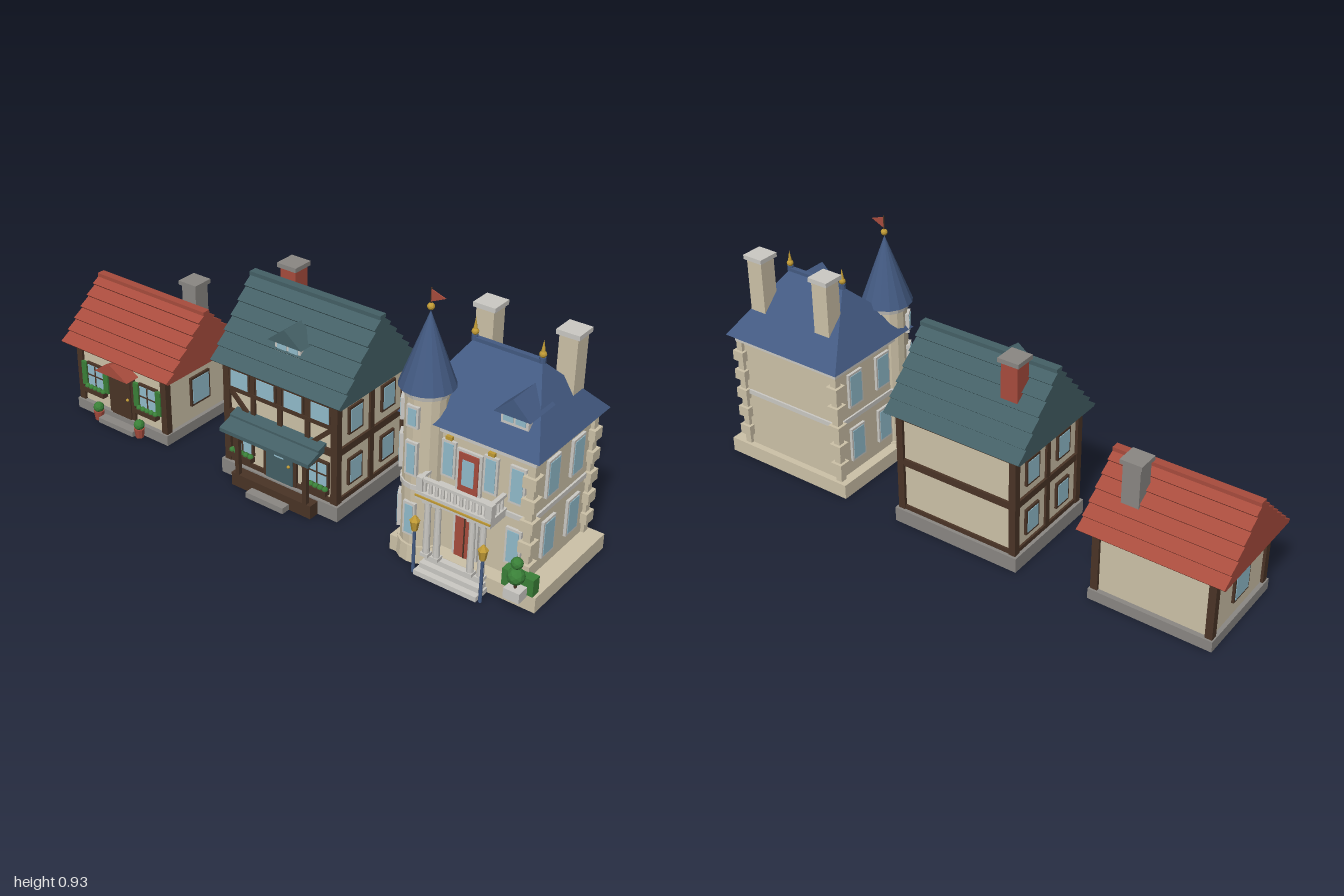
import * as THREE from 'three';
import { ConvexGeometry } from 'three/addons/geometries/ConvexGeometry.js';

const mat = (name, color, extra) => Object.assign(new THREE.MeshStandardMaterial({ color, ...extra }), { name });

export function createModel() {
  const root = new THREE.Group();
  root.name = 'threeHouses';
  const red = mat('brickRed', 0xa84c3d), teal = mat('slateTeal', 0x446066), blue = mat('slateBlue', 0x435a82),
    wall = mat('plaster', 0xcdc2a8), light = mat('paleStone', 0xcbc9c4), grey = mat('greyStone', 0x8a8783),
    wood = mat('darkWood', 0x4a3426), glass = mat('glass', 0x92bccc), green = mat('leaf', 0x3a8038),
    gold = mat('gold', 0xc09a35);
  [red, teal, blue, wall, gold, light, green].forEach(m => { m.flatShading = true; });

  const add = (g, name, geo, m, x = 0, y = 0, z = 0) => {
    const o = new THREE.Mesh(geo, m);
    o.name = name;
    o.position.set(x, y, z);
    g.add(o);
    return o;
  };
  // Box standing on height y
  const box = (g, name, m, w, h, d, x, y, z) => add(g, name, new THREE.BoxGeometry(w, h, d), m, x, y + h / 2, z);
  const cyl = (g, name, m, r1, r2, h, x, y, z, n = 10) =>
    add(g, name, new THREE.CylinderGeometry(r1, r2, h, n), m, x, y + h / 2, z);
  const ball = (g, name, m, r, x, y, z) => add(g, name, new THREE.IcosahedronGeometry(r, 1), m, x, y, z);
  const group = (name, x, z, parent = root) => {
    const g = new THREE.Group();
    g.name = name;
    g.position.set(x, 0, z);
    parent.add(g);
    return g;
  };
  // Straight beam on a front wall between two points
  const beam = (g, x0, y0, x1, y1, z, t = 0.016) => {
    const b = add(g, 'brace', new THREE.BoxGeometry(Math.hypot(x1 - x0, y1 - y0), t, 0.014), wood, (x0 + x1) / 2, (y0 + y1) / 2, z);
    b.rotation.z = Math.atan2(y1 - y0, x1 - x0);
  };
  // Framed window standing on height y and turned by ry
  const windowAt = (g, x, y, z, w, h, frame, ry = 0, bars = false) => {
    const s = group('window', x, z, g);
    s.rotation.y = ry;
    box(s, 'windowFrame', frame, w, h, 0.016, 0, y, 0);
    box(s, 'windowPane', glass, w - 0.015, h - 0.017, 0.004, 0, y + 0.0085, 0.008);
    if (bars) {
      box(s, 'windowBar', frame, 0.005, h - 0.016, 0.004, 0, y + 0.008, 0.01);
      box(s, 'windowBar', frame, w - 0.014, 0.005, 0.004, 0, y + h / 2, 0.01);
    }
  };
  // Prism along x from a profile in (z, y)
  const prismX = (pts, w) => new THREE.ExtrudeGeometry(new THREE.Shape(pts.map(p => new THREE.Vector2(...p))),
    { depth: w, bevelEnabled: false }).translate(0, 0, -w / 2).rotateY(-Math.PI / 2);
  // Solid gable roof with overlapping rows of tiles
  const tiledRoof = (g, m, w, d, y0, y1, rows) => {
    const H = y1 - y0, L = Math.hypot(H, d), lip = 0.012, front = [];
    for (let i = 0; i < rows; i++) {
      const z = d * (1 - i / rows), y = y0 + H * i / rows;
      front.push([z, y], [z + lip * H / L, y + lip * d / L]);
    }
    add(g, 'tiledRoof', prismX([...front, [0, y1], ...front.map(([z, y]) => [-z, y]).reverse()], w), m);
    box(g, 'ridgeCap', m, w, 0.014, 0.03, 0, y1 - 0.007, 0);
  };
  // Gabled block with its ridge along z
  const gable = (g, name, m, w, h, d, x, y, z) => {
    const s = new THREE.Shape([[-w / 2, 0], [w / 2, 0], [0, h]].map(p => new THREE.Vector2(...p)));
    return add(g, name, new THREE.ExtrudeGeometry(s, { depth: d, bevelEnabled: false }), m, x, y, z - d);
  };
  const dormer = (g, m, x, y, z, w, h) => {
    box(g, 'dormerWall', light, w * 0.75, 0.05, 0.1, x, y - 0.04, z - 0.068);
    for (const s of [-1, 1]) box(g, 'dormerPane', glass, w * 0.27, 0.026, 0.004, x + s * w * 0.17, y - 0.029, z - 0.017);
    gable(g, 'dormerRoof', m, w, h, 0.14, x, y, z);
  };
  const chimney = (g, m, cap, x, z, y0, y1, w = 0.064) => {
    box(g, 'chimney', m, w, y1 - y0 - 0.014, w, x, y0, z);
    box(g, 'chimneyCap', cap, w + 0.016, 0.016, w + 0.016, x, y1 - 0.016, z);
  };
  const flowerBox = (g, x, y, z, w) => {
    box(g, 'flowerBox', wood, w, 0.018, 0.025, x, y, z);
    for (let i = -2; i <= 2; i++) ball(g, 'flowers', green, 0.011, x + i * w * 0.2, y + 0.02, z);
  };

  // --- Cottage ---
  const A = group('cottage', -0.74, -0.017);
  box(A, 'plinth', grey, 0.45, 0.04, 0.38, 0, 0, 0);
  box(A, 'walls', wall, 0.42, 0.24, 0.345, 0, 0.04, 0);
  for (const sx of [-1, 1]) {
    for (const sz of [-1, 1]) box(A, 'cornerPost', wood, 0.026, 0.235, 0.026, sx * 0.207, 0.04, sz * 0.17);
    windowAt(A, sx * 0.211, 0.095, 0, 0.1, 0.115, wood, sx * Math.PI / 2);
    windowAt(A, sx * 0.13, 0.105, 0.174, 0.09, 0.1, wood, 0, true);
    for (const s of [-1, 1]) box(A, 'shutter', green, 0.024, 0.095, 0.012, sx * 0.13 + s * 0.054, 0.108, 0.182);
    flowerBox(A, sx * 0.13, 0.088, 0.188, 0.1);
    cyl(A, 'flowerPot', red, 0.02, 0.015, 0.036, sx * 0.102, 0, 0.205);
    ball(A, 'potPlant', green, 0.02, sx * 0.102, 0.05, 0.205);
  }
  box(A, 'doorFrame', wood, 0.125, 0.18, 0.016, 0, 0.04, 0.175);
  box(A, 'door', wood, 0.095, 0.165, 0.008, 0, 0.04, 0.184);
  ball(A, 'doorKnob', gold, 0.006, 0.035, 0.12, 0.19);
  gable(A, 'doorCanopy', red, 0.16, 0.046, 0.07, 0, 0.222, 0.232);
  box(A, 'doorStep', grey, 0.17, 0.02, 0.05, 0, 0, 0.2);
  tiledRoof(A, red, 0.52, 0.21, 0.268, 0.467, 6);
  chimney(A, grey, grey, 0.13, -0.085, 0.36, 0.525);

  // --- Timber-framed house ---
  const B = group('timberHouse', -0.005, -0.03), wz = 0.187;
  box(B, 'plinth', grey, 0.5, 0.055, 0.41, 0, 0, 0);
  box(B, 'walls', wall, 0.46, 0.39, 0.37, 0, 0.055, 0);
  box(B, 'sillBeam', wood, 0.475, 0.016, 0.385, 0, 0.055, 0);
  box(B, 'floorBeam', wood, 0.478, 0.026, 0.388, 0, 0.235, 0);
  box(B, 'topBeam', wood, 0.478, 0.024, 0.388, 0, 0.415, 0);
  for (const sx of [-1, 1]) {
    for (const sz of [-1, 1]) {
      box(B, 'cornerPost', wood, 0.026, 0.38, 0.026, sx * 0.228, 0.055, sz * 0.183);
      for (const y of [0.1, 0.295]) windowAt(B, sx * 0.231, y, sz * 0.09, 0.075, 0.1, wood, sx * Math.PI / 2);
    }
    box(B, 'sidePost', wood, 0.014, 0.37, 0.022, sx * 0.231, 0.055, 0);
    for (const x of [0.058, 0.17]) windowAt(B, sx * x, 0.345, wz, 0.088, 0.078, wood);
    beam(B, sx * 0.215, 0.335, sx * 0.135, 0.26, wz);
    windowAt(B, sx * 0.16, 0.105, wz, 0.09, 0.1, wood, 0, true);
    flowerBox(B, sx * 0.16, 0.088, 0.205, 0.1);
    // Porch posts with braces
    box(B, 'porchPost', wood, 0.016, 0.185, 0.016, sx * 0.145, 0.05, 0.238);
    beam(B, sx * 0.145, 0.185, sx * 0.105, 0.23, 0.238, 0.01);
    beam(B, sx * 0.145, 0.185, sx * 0.185, 0.23, 0.238, 0.01);
  }
  for (const x of [-0.115, 0, 0.115]) box(B, 'upperPost', wood, 0.018, 0.16, 0.014, x, 0.26, wz);
  box(B, 'upperRail', wood, 0.46, 0.014, 0.018, 0, 0.336, wz);
  box(B, 'doorFrame', wood, 0.14, 0.18, 0.016, 0, 0.055, wz);
  box(B, 'door', teal, 0.114, 0.165, 0.012, 0, 0.055, 0.192);
  box(B, 'doorPane', glass, 0.04, 0.04, 0.004, 0, 0.15, 0.198);
  ball(B, 'doorKnob', gold, 0.006, 0.042, 0.13, 0.2);
  box(B, 'porchFloor', wood, 0.34, 0.05, 0.06, 0, 0, 0.216);
  box(B, 'porchStep', grey, 0.16, 0.022, 0.035, 0, 0, 0.262);
  add(B, 'porchRoof', prismX([[0.17, 0.25], [0.28, 0.222], [0.28, 0.236], [0.225, 0.254], [0.225, 0.262], [0.17, 0.278]], 0.378), teal);
  tiledRoof(B, teal, 0.54, 0.217, 0.436, 0.683, 6);
  dormer(B, teal, 0, 0.56, 0.165, 0.14, 0.055);
  chimney(B, red, grey, -0.15, -0.072, 0.55, 0.727);

  // --- Mansion ---
  const C = group('mansion', 0.717, -0.042), hw = 0.215, hd = 0.175;
  box(C, 'plinth', wall, 0.535, 0.055, 0.425, 0.0155, 0, 0.014);
  box(C, 'walls', wall, hw * 2, 0.43, hd * 2, 0, 0.055, 0);
  box(C, 'stringCourse', light, hw * 2 + 0.014, 0.017, hd * 2 + 0.014, 0, 0.268, 0);
  box(C, 'cornice', light, hw * 2 + 0.03, 0.028, hd * 2 + 0.03, 0, 0.478, 0);
  // Alternating corner stones
  for (const sx of [-1, 1]) for (const sz of [-1, 1]) for (let i = 0; i < 11; i++) {
    const w = i % 2 ? 0.046 : 0.025;
    box(C, 'cornerStone', wall, w, 0.0385, w, sx * hw, 0.055 + i * 0.0385, sz * hd);
  }
  const hip = [];
  for (const sx of [-1, 1]) {
    for (const sz of [-1, 1]) hip.push(new THREE.Vector3(sx * 0.25, 0.505, sz * 0.212));
    hip.push(new THREE.Vector3(sx * 0.118, 0.714, 0));
    // Side windows, chimneys and ridge finials
    for (const y of [0.103, 0.322]) for (const z of [0.066, -0.081])
      windowAt(C, sx * (hw + 0.002), y, z, 0.072, 0.132, light, sx * Math.PI / 2);
    chimney(C, wall, light, sx * 0.145 + 0.018, -0.097, 0.5, 0.798);
    cyl(C, 'finialBase', blue, 0.011, 0.011, 0.018, sx * 0.118, 0.708, 0);
    ball(C, 'finialBall', gold, 0.012, sx * 0.118, 0.736, 0);
    cyl(C, 'finialSpike', gold, 0, 0.007, 0.04, sx * 0.118, 0.745, 0);
    windowAt(C, sx * 0.075, 0.322, hd + 0.002, 0.05, 0.13, light);
    box(C, 'keystone', gold, 0.022, 0.012, 0.014, sx * 0.075, 0.456, hd + 0.006);
    // Porch columns
    for (const x of [0.062, 0.1]) {
      cyl(C, 'column', light, 0.01, 0.012, 0.21, sx * x, 0.055, 0.247, 12);
      for (const y of [0.055, 0.253]) box(C, 'columnBlock', light, 0.028, 0.012, 0.028, sx * x, y, 0.247);
    }
    // Lamp posts
    const lx = sx * 0.124;
    cyl(C, 'lampPost', blue, 0.005, 0.006, 0.16, lx, 0, 0.28, 8);
    cyl(C, 'lantern', gold, 0.016, 0.01, 0.036, lx, 0.157, 0.28, 6);
    cyl(C, 'lanternCap', gold, 0.003, 0.018, 0.018, lx, 0.193, 0.28, 6);
  }
  add(C, 'hipRoof', new ConvexGeometry(hip), blue);
  box(C, 'ridgeCap', blue, 0.24, 0.012, 0.018, 0, 0.708, 0);
  dormer(C, blue, 0.128, 0.605, 0.174, 0.125, 0.06);
  for (const y of [0.103, 0.322]) windowAt(C, 0.168, y, hd + 0.002, 0.055, 0.13, light);
  // Front doors
  for (const [y, h] of [[0.055, 0.2], [0.29, 0.142]]) {
    box(C, 'doorFrame', light, 0.09, h + 0.008, 0.016, 0, y, hd + 0.002);
    box(C, 'door', red, 0.07, h, 0.012, 0, y, hd + 0.008);
    if (y > 0.2) box(C, 'doorPane', glass, 0.042, 0.09, 0.004, 0, y + 0.03, hd + 0.014);
    else box(C, 'doorSeam', wood, 0.004, h, 0.003, 0, y, hd + 0.015);
  }
  // Balcony with balustrade
  box(C, 'balconySlab', light, 0.27, 0.028, 0.095, 0, 0.265, 0.22);
  box(C, 'balconyTrim', gold, 0.27, 0.006, 0.006, 0, 0.276, 0.269);
  box(C, 'handrail', light, 0.26, 0.01, 0.016, 0, 0.331, 0.254);
  for (let i = -5; i <= 5; i++) cyl(C, 'baluster', light, 0.005, 0.007, 0.04, i * 0.022, 0.292, 0.254, 6);
  for (const s of [-1, 1]) {
    box(C, 'balconyPost', light, 0.022, 0.05, 0.022, s * 0.124, 0.292, 0.254);
    box(C, 'sideHandrail', light, 0.014, 0.01, 0.07, s * 0.124, 0.331, 0.21);
    for (let i = 0; i < 3; i++) cyl(C, 'sideBaluster', light, 0.005, 0.007, 0.04, s * 0.124, 0.292, 0.19 + i * 0.02, 6);
  }
  for (let i = 0; i < 3; i++) box(C, 'entranceStep', light, 0.23 - i * 0.012, 0.018, 0.11 - i * 0.022, 0, i * 0.018, 0.237 - i * 0.011);
  // Hedge and topiary
  box(C, 'hedge', green, 0.11, 0.06, 0.036, 0.218, 0.055, 0.21);
  box(C, 'planter', light, 0.056, 0.036, 0.046, 0.23, 0.056, 0.26);
  cyl(C, 'topiaryStem', wood, 0.005, 0.005, 0.09, 0.23, 0.09, 0.26, 6);
  ball(C, 'topiaryLower', green, 0.029, 0.23, 0.134, 0.26);
  ball(C, 'topiaryUpper', green, 0.02, 0.23, 0.181, 0.26);

  // Round tower
  const T = group('tower', 0.545, 0.125);
  cyl(T, 'towerFoot', wall, 0.078, 0.082, 0.06, 0, 0, 0, 16);
  cyl(T, 'towerWall', wall, 0.07, 0.07, 0.55, 0, 0.05, 0, 16);
  cyl(T, 'towerBand', light, 0.075, 0.075, 0.017, 0, 0.268, 0, 16);
  cyl(T, 'towerCornice', light, 0.081, 0.076, 0.022, 0, 0.588, 0, 16);
  cyl(T, 'towerRoof', blue, 0, 0.091, 0.248, 0, 0.609, 0, 16);
  for (const [y, h] of [[0.1, 0.12], [0.32, 0.12], [0.49, 0.075]])
    for (const a of [0, -Math.PI / 3]) windowAt(T, Math.sin(a) * 0.07, y, Math.cos(a) * 0.07, 0.044, h, light, a);
  ball(T, 'towerBall', gold, 0.012, 0, 0.869, 0);
  cyl(T, 'flagPole', wood, 0.0025, 0.0025, 0.055, 0, 0.875, 0, 6);
  const flag = new THREE.Shape([[0, 0.925], [0.05, 0.908], [0, 0.885]].map(p => new THREE.Vector2(...p)));
  add(T, 'flag', new THREE.ExtrudeGeometry(flag, { depth: 0.004, bevelEnabled: false }), red, 0, 0, -0.002);
  return root;
}
